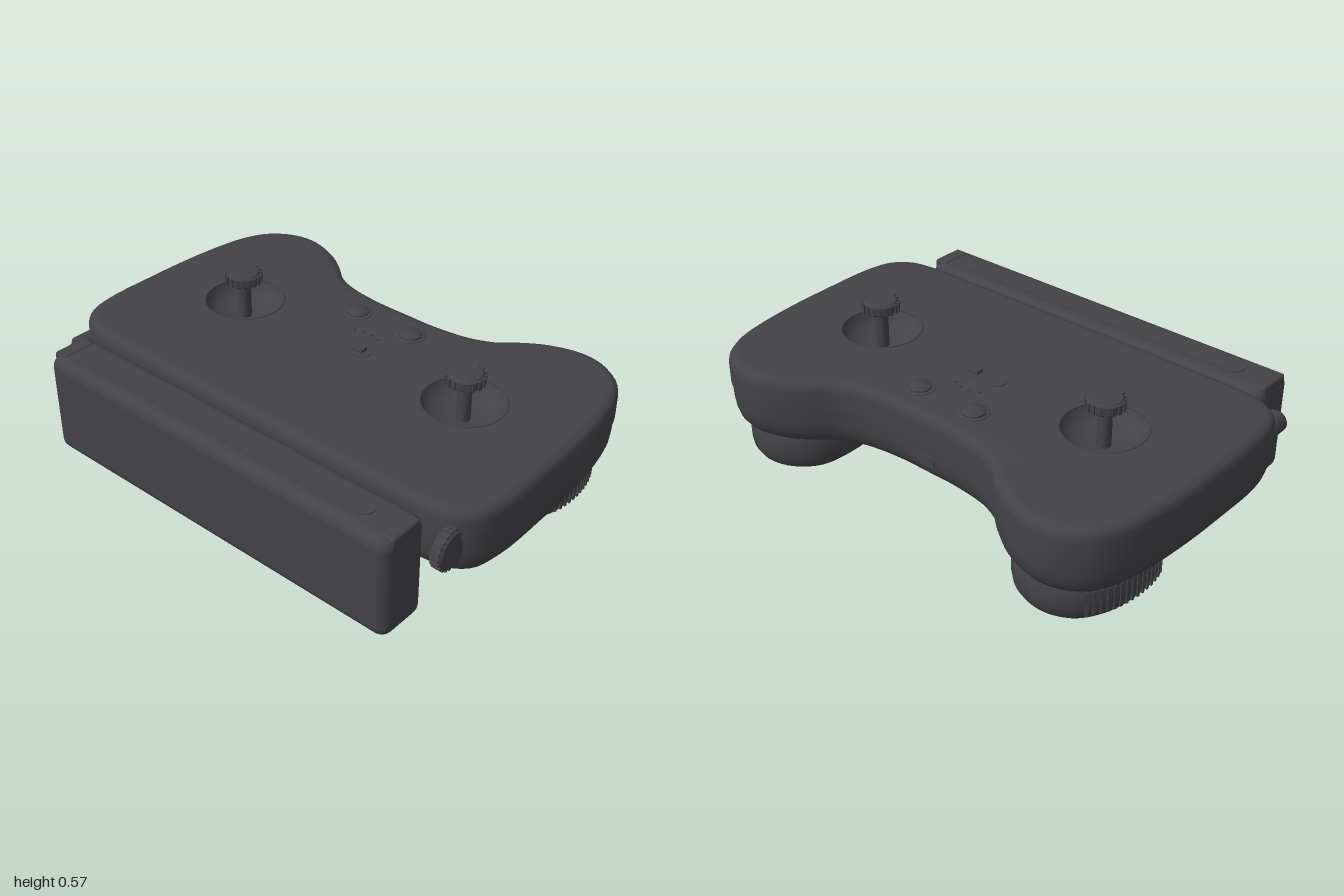
import * as THREE from 'three';
import { toCreasedNormals } from 'three/addons/utils/BufferGeometryUtils.js';
import { RoundedBoxGeometry } from 'three/addons/geometries/RoundedBoxGeometry.js';

const V2 = (x, y) => new THREE.Vector2(x, y);
const charcoal = new THREE.MeshStandardMaterial({ color: 0x434246 });
charcoal.name = 'charcoal';

function add(parent, name, geometry, x = 0, y = 0, z = 0) {
  const mesh = new THREE.Mesh(geometry, charcoal);
  mesh.name = name;
  mesh.position.set(x, y, z);
  parent.add(mesh);
  return mesh;
}

// Smooth closed plan outline (x, z) through a few points
function smoothOutline(points, count) {
  const curve = new THREE.CatmullRomCurve3(points.map(([x, z]) => new THREE.Vector3(x, 0, z)), true, 'centripetal');
  const out = curve.getSpacedPoints(count).slice(0, count).map(p => V2(p.x, p.z));
  return THREE.ShapeUtils.area(out) < 0 ? out.reverse() : out;
}

const circle = (cx, cz, r, n = 40) => Array.from({ length: n }, (_, i) => {
  const a = -i / n * Math.PI * 2;
  return V2(cx + r * Math.cos(a), cz + r * Math.sin(a));
});

// Shell from an outline: rings of [inset, height] from bottom to top, capped at both ends
function shell(outline, rings, topHoles = []) {
  const n = outline.length, pos = [], idx = [];
  const normals = outline.map((p, i) => {
    const t = outline[(i + 1) % n].clone().sub(outline[(i + n - 1) % n]).normalize();
    return V2(t.y, -t.x);
  });
  const ringPoints = inset => outline.map((p, i) => p.clone().addScaledVector(normals[i], -inset));
  rings.forEach(([inset, y]) => ringPoints(inset).forEach(p => pos.push(p.x, y, p.y)));
  for (let r = 0; r < rings.length - 1; r++) {
    for (let i = 0; i < n; i++) {
      const a = r * n + i, b = r * n + (i + 1) % n;
      idx.push(a, a + n, b, b, a + n, b + n);
    }
  }
  const cap = ([inset, y], holes, up) => {
    const contour = ringPoints(inset), base = pos.length / 3;
    [contour, ...holes].flat().forEach(p => pos.push(p.x, y, p.y));
    for (const [a, b, c] of THREE.ShapeUtils.triangulateShape(contour, holes)) {
      idx.push(base + a, base + (up ? c : b), base + (up ? b : c));
    }
  };
  cap(rings[0], [], false);
  cap(rings[rings.length - 1], topHoles, true);
  const g = new THREE.BufferGeometry();
  g.setAttribute('position', new THREE.Float32BufferAttribute(pos, 3));
  g.setIndex(idx);
  return toCreasedNormals(g, 0.6);
}

const lathe = (points, segments = 40) =>
  toCreasedNormals(new THREE.LatheGeometry(points.map(p => V2(...p)), segments), 0.6);

// Flat stadium-shaped plate lying in the xz plane, long along z, rising from y = 0
function stadium(width, length, height) {
  const r = width / 2, h = length / 2 - r, s = new THREE.Shape();
  s.absarc(0, h, r, 0, Math.PI);
  s.absarc(0, -h, r, Math.PI, Math.PI * 2);
  s.closePath();
  return new THREE.ExtrudeGeometry(s, { depth: height, bevelEnabled: false, curveSegments: 10 }).rotateX(-Math.PI / 2);
}

// Knurled disc with its axis along y
function knurledDisc(parent, name, radius, height, ribs) {
  const g = new THREE.Group();
  g.name = name;
  const r = radius - 0.006, h = height / 2;
  add(g, 'disc', lathe([[0, -h], [r - 0.01, -h], [r, -h + 0.01], [r, h - 0.01], [r - 0.01, h], [0, h]]));
  for (let i = 0; i < ribs; i++) {
    const a = i / ribs * Math.PI * 2;
    const rib = add(g, 'rib', new THREE.BoxGeometry(0.012, height - 0.014, radius * 3 / ribs), r * Math.cos(a), 0, -r * Math.sin(a));
    rib.rotation.y = a;
  }
  parent.add(g);
  return g;
}

export function createModel() {
  const model = new THREE.Group();
  model.name = 'gameController';

  // Body halves: flat on one long side, two lobes on the other
  const half = [[0.46, 0], [0.462, 0.15], [0.485, 0.3], [0.525, 0.39], [0.58, 0.455], [0.64, 0.55], [0.678, 0.68],
    [0.665, 0.785], [0.6, 0.885], [0.5, 0.942], [0.38, 0.97], [0.2, 0.99], [0, 0.997], [-0.25, 0.994],
    [-0.36, 0.965], [-0.425, 0.895], [-0.448, 0.8], [-0.455, 0.55], [-0.458, 0.25]];
  const mirrored = half.slice(1).reverse().map(([x, z]) => [x, -z]);
  const outline = smoothOutline([...half, [-0.458, 0], ...mirrored], 180);
  const stickX = 0.1, stickZ = 0.55, wellR = 0.16;
  add(model, 'upperBody', shell(outline,
    [[0.012, 0.318], [0, 0.322], [0, 0.4], [0.004, 0.418], [0.014, 0.431], [0.03, 0.438], [0.045, 0.44]],
    [circle(stickX, stickZ, wellR), circle(stickX, -stickZ, wellR)]));
  add(model, 'lowerBody', shell(outline,
    [[0.085, 0.15], [0.06, 0.155], [0.037, 0.169], [0.02, 0.192], [0.01, 0.225], [0.006, 0.26], [0.005, 0.32]]));

  for (const s of [1, -1]) {
    // Thumb stick standing in its bowl
    add(model, 'stickWell', lathe([[wellR, 0.44], [0.15, 0.415], [0.125, 0.39], [0.08, 0.372], [0, 0.365]]), stickX, 0, s * stickZ);
    const rim = add(model, 'wellRim', new THREE.TorusGeometry(wellR, 0.004, 6, 40), stickX, 0.44, s * stickZ);
    rim.rotation.x = Math.PI / 2;
    add(model, 'stickStem', new THREE.CylinderGeometry(0.027, 0.027, 0.17, 20), stickX, 0.445, s * stickZ);
    knurledDisc(model, 'stickCap', 0.075, 0.05, 18).position.set(stickX, 0.545, s * stickZ);

    // Rounded grip under each lobe, ribbed on the outer side
    const grip = smoothOutline([[0.135, 0.69], [0.145, 0.82], [0.2, 0.888], [0.34, 0.91], [0.49, 0.88], [0.59, 0.81],
      [0.633, 0.7], [0.61, 0.58], [0.52, 0.485], [0.38, 0.46], [0.22, 0.485], [0.15, 0.57]].map(([x, z]) => [x, s * z]), 120);
    add(model, 'grip', shell(grip, [[0.075, 0], [0.045, 0.005], [0.02, 0.02], [0.005, 0.045], [0, 0.075], [0, 0.15], [0.012, 0.175], [0.05, 0.185]]));
    grip.forEach((p, i) => {
      if (i % 2 || s * p.y < 0.8 || p.x < 0.2 || p.x > 0.56) return;
      const next = grip[(i + 1) % grip.length];
      const rib = add(model, 'gripRib', new THREE.BoxGeometry(0.01, 0.1, 0.01), p.x, 0.095, p.y);
      rib.rotation.y = -Math.atan2(next.y - p.y, next.x - p.x);
    });

    // Round push button with a collar
    const bz = s > 0 ? 0.125 : -0.14;
    add(model, 'buttonCollar', lathe([[0.06, 0.43], [0.06, 0.442], [0.057, 0.444], [0.046, 0.444], [0.046, 0.438]]), 0.325, 0, bz);
    add(model, 'button', lathe([[0.044, 0.43], [0.044, 0.448], [0.036, 0.454], [0, 0.456]]), 0.325, 0, bz);

    // Clip at each end of the holder bar, and the bracket joining it to the body
    add(model, 'holderClip', new RoundedBoxGeometry(0.145, 0.05, 0.065, 3, 0.012), -0.578, 0.405, s * 0.8);
    add(model, 'holderBracket', new THREE.BoxGeometry(0.08, 0.08, 0.1), -0.46, 0.3, s * 0.4);
  }

  // Mode switch and indicator dots
  add(model, 'switchTrack', stadium(0.08, 0.2, 0.004), 0.11, 0.439, 0);
  add(model, 'switchSlider', new RoundedBoxGeometry(0.036, 0.03, 0.05, 2, 0.004), 0.113, 0.442, 0.045);
  [-0.065, -0.025, 0.015, 0.055].forEach((z, i) =>
    add(model, 'indicator', new THREE.CylinderGeometry(0.006, 0.006, 0.008, 10), i % 3 ? 0.226 : 0.214, 0.441, z));

  // Port on the recessed edge between the lobes
  const port = add(model, 'port', stadium(0.045, 0.12, 0.006), 0.452, 0.247, 0);
  port.rotation.z = -Math.PI / 2;

  // Holder bar with a raised strip along its top
  add(model, 'holderBar', new RoundedBoxGeometry(0.213, 0.425, 1.665, 5, 0.048), -0.577, 0.2125, -0.002);
  add(model, 'holderStrip', stadium(0.09, 1.39, 0.006), -0.578, 0.422, -0.003);

  // Thumb wheel at one corner, round button at the other
  const wheel = knurledDisc(model, 'thumbWheel', 0.082, 0.05, 22);
  wheel.position.set(-0.44, 0.302, 0.897);
  wheel.rotation.x = Math.PI / 2;
  const shutter = add(model, 'cornerButton', lathe([[0.045, -0.06], [0.045, 0.032], [0.038, 0.04], [0, 0.042]], 28), -0.448, 0.335, -0.905);
  shutter.rotation.z = Math.PI / 2;

  return model;
}
